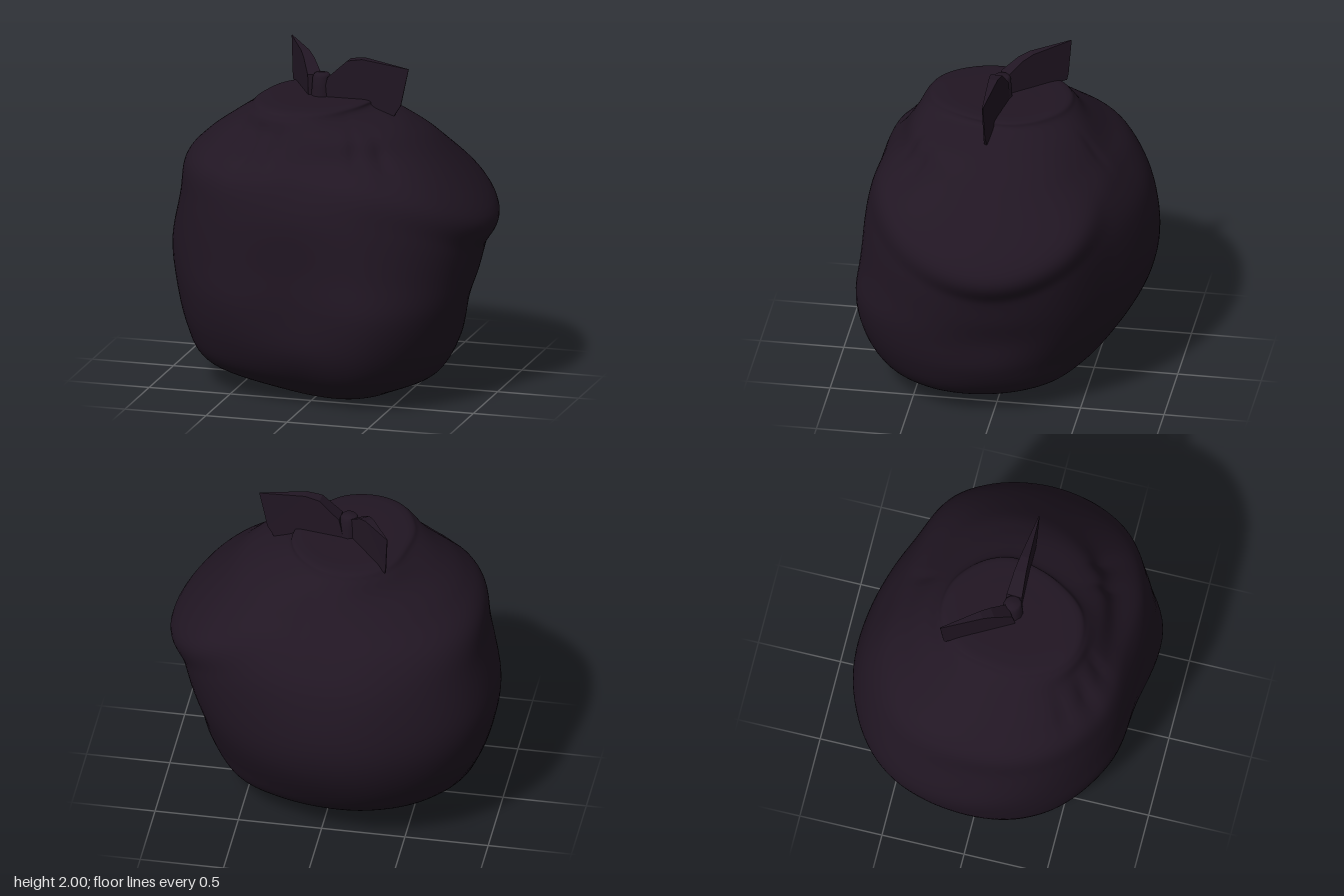
import * as THREE from 'three';

const material = new THREE.MeshStandardMaterial({ color: 0x211623, side: THREE.DoubleSide });

// Sack cross-sections, bottom to top: radii every 30 degrees from +x towards +z
const heights = [0.025, 0.06, 0.16, 0.35, 0.6, 0.85, 1.15, 1.36, 1.5, 1.62, 1.71];
const sags = [0, 0, 0, 0, 0.04, 0.13, 0.27, 0.26, 0.02, 0, 0];
const radii = [
  [.30, .38, .42, .37, .32, .31, .28, .20, .15, .15, .17, .22],
  [.50, .57, .62, .53, .52, .53, .50, .40, .31, .28, .30, .40],
  [.67, .77, .79, .67, .70, .77, .77, .67, .57, .51, .52, .60],
  [.78, .88, .91, .78, .81, .87, .88, .85, .76, .67, .65, .70],
  [.82, .94, .97, .81, .87, .92, .955, .97, .89, .80, .76, .79],
  [.87, .96, .94, .81, .87, .93, .985, 1.01, .93, .84, .80, .85],
  [.91, .97, .90, .81, .86, .91, .92, .95, .88, .79, .79, .89],
  [.98, .95, .84, .75, .82, .88, .88, .87, .77, .67, .71, .90],
  [.66, .68, .66, .65, .70, .76, .755, .70, .61, .55, .56, .63],
  [.48, .53, .56, .58, .60, .62, .59, .53, .48, .45, .43, .45],
  [.29, .30, .37, .50, .56, .52, .455, .44, .41, .36, .31, .29],
];

const spline = (a, b, c, d, t) =>
  b + 0.5 * t * (c - a + t * (2 * a - 5 * b + 4 * c - d + t * (3 * (b - c) + d - a)));

// Smooth lookup along a list, closed or clamped at its ends
function sample(list, t, closed) {
  const n = list.length, i = Math.floor(t);
  const at = k => list[closed ? (k + n) % n : Math.min(n - 1, Math.max(0, k))];
  return spline(at(i - 1), at(i), at(i + 1), at(i + 2), t - i);
}

// Gathered folds below the neck: angle, height, depth, width
const folds = [
  [0.85, 1.5, 0.025, 0.06], [1.1, 1.56, 0.02, 0.05], [1.9, 1.53, 0.025, 0.05],
  [2.15, 1.5, 0.03, 0.06], [2.4, 1.52, 0.02, 0.05], [4.9, 1.52, 0.015, 0.05],
];

function sackGeometry() {
  const around = 120, steps = 8;
  // Closed floor and top disc around the side rings
  const top = radii[radii.length - 1];
  const rings = [top.map(() => 0), ...radii, top.map(r => r * 0.87), top.map(r => r * 0.45), top.map(() => 0)];
  const ys = [0.03, ...heights, 1.752, 1.757, 1.757];
  const drop = [0, ...sags, 0, 0, 0];
  const rows = (rings.length - 1) * steps;
  const positions = [], index = [];
  for (let j = 0; j <= rows; j++) {
    const v = j / steps;
    for (let i = 0; i < around; i++) {
      const a = i / around * Math.PI * 2, c = Math.cos(a);
      let r = Math.max(0, sample(rings.map(ring => sample(ring, a / Math.PI * 6, true)), v, false));
      let y = sample(ys, v, false) - sample(drop, v, false) * Math.max(0, c) ** 4;
      // The floor sinks towards the front left corner
      y -= 0.025 * Math.sin(a + 0.4) * Math.exp(-((v - 1) ** 2) * 2) * Math.min(1, v);
      for (const [fa, fy, depth, width] of folds)
        r -= depth * Math.exp(-(((a - fa) / width) ** 2) - ((y - fy) / 0.09) ** 2);
      positions.push(r * c, y, r * Math.sin(a));
      if (j < rows) {
        const p = j * around + i, q = j * around + (i + 1) % around;
        index.push(p, p + around, q, q, p + around, q + around);
      }
    }
  }
  const g = new THREE.BufferGeometry();
  g.setAttribute('position', new THREE.Float32BufferAttribute(positions, 3));
  g.setIndex(index);
  g.computeVertexNormals();
  return g;
}

// A tied end: a side outline given thickness that tapers to a thin tip
function earGeometry(outline, thickness) {
  const shape = new THREE.Shape(outline.map(([x, y]) => new THREE.Vector2(x, y)));
  const g = new THREE.ExtrudeGeometry(shape, { depth: 1, bevelEnabled: false });
  const p = g.attributes.position;
  const tip = Math.max(...outline.map(o => o[0]));
  for (let i = 0; i < p.count; i++) {
    const taper = Math.max(0.05, 1 - p.getX(i) / tip);
    p.setZ(i, (p.getZ(i) - 0.5) * thickness * taper);
  }
  g.computeVertexNormals();
  return g;
}

// Knot profile, rounded at the top
const knotProfile = [[0.066, 0], [0.06, 0.09], [0.055, 0.15], [0.042, 0.168], [0, 0.172]]
  .map(([x, y]) => new THREE.Vector2(x, y));

export function createModel() {
  const model = new THREE.Group();
  model.name = 'tiedSack';
  const add = (name, geometry, x, y, z, turn = 0) => {
    const mesh = new THREE.Mesh(geometry, material);
    mesh.name = name;
    mesh.position.set(x, y, z);
    mesh.rotation.y = turn;
    model.add(mesh);
  };

  add('sack', sackGeometry(), 0, 0, 0);

  // Knot and its two loose ends
  add('knot', new THREE.LatheGeometry(knotProfile, 12), -0.065, 1.72, 0.065);
  add('leftEar', earGeometry([
    [0, 1.74], [0.27, 1.71], [0.43, 1.66], [0.475, 1.73], [0.525, 1.96],
    [0.24, 2], [0.15, 1.985], [0.03, 1.875],
  ], 0.1), -0.045, 0, 0.06, -0.06);
  add('rightEar', earGeometry([
    [0, 1.74], [0.43, 1.74], [0.44, 1.78], [0.46, 2],
    [0.2, 1.975], [0.13, 1.95], [0.02, 1.875],
  ], 0.09), -0.1, 0, 0.075, 2.17);

  return model;
}
